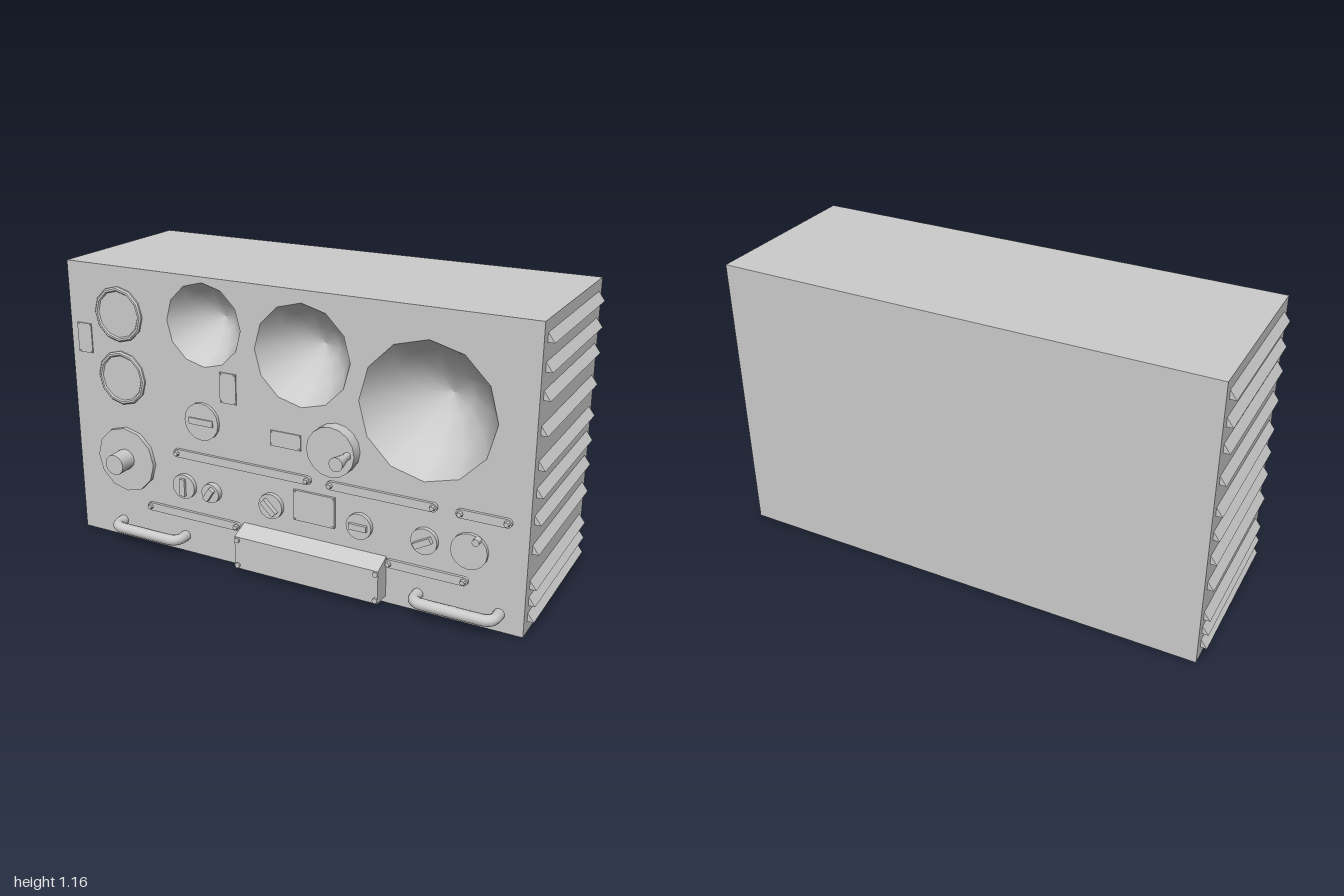
import * as THREE from 'three';
import { toCreasedNormals } from 'three/addons/utils/BufferGeometryUtils.js';

const W = 0.975, H = 1.16, BACK = -0.42, FACE = 0.28, SPLIT = -0.02;

export function createModel() {
  const root = new THREE.Group();
  const mat = new THREE.MeshStandardMaterial({ color: 0xcccccc });

  function add(name, geo, x = 0, y = 0, z = 0, parent = root) {
    const mesh = new THREE.Mesh(geo, mat);
    mesh.name = name;
    mesh.position.set(x, y, z);
    parent.add(mesh);
    return mesh;
  }
  const crease = (geo) => toCreasedNormals(geo, 0.7);

  // Solid of revolution about z; profile points are [radius, z]
  function turned(profile, sides, turn = 0) {
    const pts = profile.map(([r, z]) => new THREE.Vector2(r, z));
    return new THREE.LatheGeometry(pts, sides, turn).rotateX(Math.PI / 2);
  }
  // Disc standing on the front face
  function disc(r, depth, sides = 16, rTop = r) {
    return crease(new THREE.CylinderGeometry(rTop, r, depth, sides)
      .rotateX(Math.PI / 2).translate(0, 0, depth / 2));
  }
  function block(w, h, d) {
    return new THREE.BoxGeometry(w, h, d).translate(0, 0, d / 2);
  }

  // Cabinet: rear block, and a front block with round speaker openings
  const speakers = [[-0.34, 0.973, 0.165], [0.083, 0.914, 0.198], [0.578, 0.783, 0.262]];
  const SIDES = 12;
  add('cabinetRear', new THREE.BoxGeometry(2 * W, H, SPLIT - BACK), 0, H / 2, (SPLIT + BACK) / 2);
  const panel = new THREE.Shape([[-W, 0], [W, 0], [W, H], [-W, H]]
    .map(([x, y]) => new THREE.Vector2(x, y)));
  for (const [x, y, r] of speakers) {
    const ring = [];
    for (let i = 0; i < SIDES; i++) {
      const a = (i / SIDES) * Math.PI * 2;
      ring.push(new THREE.Vector2(x + r * Math.cos(a), y + r * Math.sin(a)));
    }
    panel.holes.push(new THREE.Path(ring));
  }
  add('cabinetFront', new THREE.ExtrudeGeometry(panel, { depth: FACE - SPLIT, bevelEnabled: false }), 0, 0, SPLIT);

  // Recessed speaker cones
  for (const [x, y, r] of speakers) {
    const profile = [[0.0001, -0.98], [0.35, -0.86], [0.75, -0.45], [1, 0]]
      .map(([a, b]) => [a * r, b * r]);
    const cone = add('speakerCone', turned(profile, SIDES), x, y, FACE);
    cone.material = mat.clone();
    cone.material.side = THREE.DoubleSide;
  }

  // Side louvres: wedges that slope outward towards a flat underside
  const louvreY = [0.046, 0.11, 0.175, 0.313, 0.426, 0.528, 0.629, 0.755, 0.88, 0.979, 1.08];
  const wedge = new THREE.Shape();
  wedge.moveTo(0, 0);
  wedge.lineTo(0.025, 0);
  wedge.lineTo(0, 0.034);
  const louvre = new THREE.ExtrudeGeometry(wedge, { depth: 0.625, bevelEnabled: false }).translate(0, 0, -0.3125);
  for (const y of louvreY) {
    add('louvreLeft', louvre, W, y, -0.072);
    const other = add('louvreRight', louvre, -W, y, -0.072);
    other.rotation.y = Math.PI;
  }

  // Round gauges with a raised bezel
  for (const y of [0.968, 0.706]) {
    const g = turned([[0.112, 0], [0.112, 0.007], [0.106, 0.013], [0.098, 0.013], [0.093, 0.007], [0.0001, 0.007]], 12);
    add('gauge', crease(g), -0.733, y, FACE);
  }

  // Large tuning dial with a protruding stem
  add('tuningDial', disc(0.137, 0.018, 12), -0.73, 0.358, FACE);
  add('tuningStem', disc(0.043, 0.095, 12), -0.73, 0.362, FACE);

  // Selector knobs: disc with a grip bar
  function selector(x, y, r, angle, depth = 0.018, grip = 0.012, thick = 0.024) {
    const knob = new THREE.Group();
    knob.name = 'selectorKnob';
    knob.position.set(x, y, FACE);
    add('knobDisc', disc(r, depth), 0, 0, 0, knob);
    const bar = add('knobGrip', block(r * 1.4, thick, grip), 0, 0, depth, knob);
    bar.rotation.z = angle;
    root.add(knob);
  }
  selector(-0.355, 0.587, 0.077, 0, 0.014, 0.006, 0.026);
  selector(-0.449, 0.295, 0.052, Math.PI / 2);
  selector(-0.318, 0.295, 0.04, 1, 0.026, 0.018);
  selector(-0.048, 0.295, 0.052, -0.75, 0.018, 0.02);
  selector(0.33, 0.295, 0.052, 0);
  selector(0.591, 0.295, 0.052, 0.5, 0.018, 0.02);

  // Crank knob with a flared handle
  add('crankDisc', disc(0.098, 0.05, 16), 0.227, 0.583, FACE);
  const handle = turned([[0.015, 0], [0.015, 0.02], [0.028, 0.092], [0.0001, 0.092]], 12);
  add('crankHandle', crease(handle), 0.297, 0.583, FACE + 0.05);

  // Indicator dial with a small stud
  add('indicatorDial', disc(0.07, 0.015), 0.762, 0.295, FACE);
  add('indicatorStud', disc(0.014, 0.03, 10), 0.794, 0.348, FACE + 0.01);

  // Thin plates: [centre x, centre y, width, height, depth]
  const plates = [
    [0.138, 0.322, 0.175, 0.125, 0.01], [-0.908, 0.85, 0.068, 0.122, 0.005],
    [-0.235, 0.74, 0.072, 0.122, 0.005], [0.015, 0.575, 0.132, 0.062, 0.005],
  ];
  for (const [x, y, w, h, d] of plates) {
    add('plate', block(w, h, d), x, y, FACE);
    for (const sx of [-1, 1]) for (const sy of [-1, 1]) {
      add('plateRivet', disc(0.004, 0.003, 6), x + sx * (w / 2 - 0.006), y + sy * (h / 2 - 0.006), FACE + d);
    }
  }

  // Long label strips with a stud at each end: [x0, x1, y]
  const strips = [[-0.495, 0.125, 0.433], [0.19, 0.635, 0.433], [0.705, 0.912, 0.433],
    [-0.637, -0.192, 0.17], [0.435, 0.763, 0.17]];
  for (const [x0, x1, y] of strips) {
    const r = 0.017, len = x1 - x0 - 2 * r;
    const s = new THREE.Shape();
    s.absarc(len / 2, 0, r, -Math.PI / 2, Math.PI / 2);
    s.absarc(-len / 2, 0, r, Math.PI / 2, Math.PI * 1.5);
    const g = new THREE.ExtrudeGeometry(s, { depth: 0.012, bevelEnabled: false, curveSegments: 6 });
    add('labelStrip', g, (x0 + x1) / 2, y, FACE);
    for (const x of [x0 + r, x1 - r]) add('stripStud', disc(0.012, 0.012, 8, 0.009), x, y, FACE + 0.012);
  }

  // Lower cover box with a sloping top and corner screws
  const side = new THREE.Shape([[0, 0.027], [0.073, 0.027], [0.073, 0.162], [0, 0.192]]
    .map(([z, y]) => new THREE.Vector2(-z, y)));
  const cover = new THREE.ExtrudeGeometry(side, { depth: 0.617, bevelEnabled: false }).rotateY(Math.PI / 2);
  add('coverBox', cover, -0.178, 0, FACE);
  for (const x of [-0.165, 0.43]) for (const y of [0.042, 0.15]) {
    add('coverScrew', disc(0.011, 0.008, 8), x, y, FACE + 0.073);
  }

  // Carrying handles: bent tubes
  for (const cx of [-0.615, 0.725]) {
    const h = 0.157, out = 0.067, c = 0.045;
    const path = new THREE.CurvePath();
    const v = (x, z) => new THREE.Vector3(x, 0, z);
    path.add(new THREE.LineCurve3(v(-h, 0), v(-h, out - c)));
    path.add(new THREE.QuadraticBezierCurve3(v(-h, out - c), v(-h, out), v(-h + c, out)));
    path.add(new THREE.LineCurve3(v(-h + c, out), v(h - c, out)));
    path.add(new THREE.QuadraticBezierCurve3(v(h - c, out), v(h, out), v(h, out - c)));
    path.add(new THREE.LineCurve3(v(h, out - c), v(h, 0)));
    add('carryHandle', new THREE.TubeGeometry(path, 40, 0.022, 10), cx, 0.071, FACE);
  }

  return root;
}
